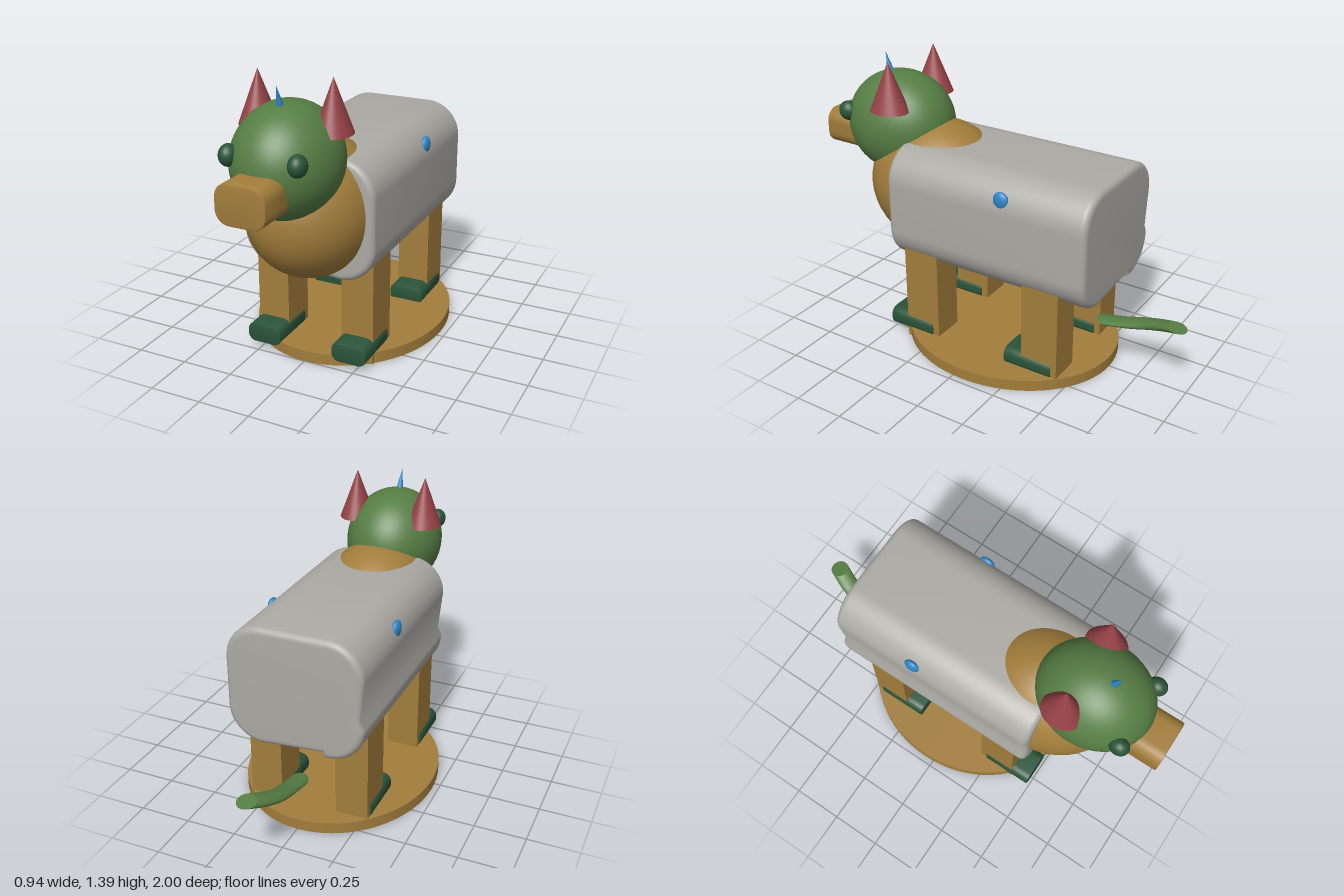
import * as THREE from 'three';
import { toCreasedNormals } from 'three/addons/utils/BufferGeometryUtils.js';

const paint = (name, color) => {
  const m = new THREE.MeshStandardMaterial({ color });
  m.name = name;
  return m;
};

export function createModel() {
  const wood = paint('wood brown', 0xa27d3b);
  const grey = paint('body grey', 0xacaaa4);
  const green = paint('head green', 0x567e44);
  const dark = paint('dark green', 0x2a5439);
  const red = paint('ear red', 0x964247);
  const blue = paint('bright blue', 0x2f86c6);
  const model = new THREE.Group();

  const add = (name, geo, mat, x = 0, y = 0, z = 0) => {
    const mesh = new THREE.Mesh(geo, mat);
    mesh.name = name;
    mesh.position.set(x, y, z);
    model.add(mesh);
    return mesh;
  };
  const ellipsoid = (rx, ry, rz, n = 48) =>
    new THREE.SphereGeometry(1, n, n / 2).scale(rx, ry, rz);

  // Extrusion along z with softened ends, spanning z0 to z1
  const extrude = (shape, z0, z1, bevel, steps) => {
    const geo = new THREE.ExtrudeGeometry(shape, {
      depth: z1 - z0 - 2 * bevel, bevelThickness: bevel, bevelSize: bevel,
      bevelSegments: steps, curveSegments: 12,
    });
    geo.translate(0, 0, z0 + bevel);
    return toCreasedNormals(geo, 0.6);
  };

  // Rounded bar, centred on x and y
  const bar = (w, h, r, z0, z1, bevel = 0.006) => {
    const a = w / 2 - bevel, b = h / 2 - bevel, q = r - bevel, s = new THREE.Shape();
    s.absarc(a - q, b - q, q, 0, Math.PI / 2);
    s.absarc(-a + q, b - q, q, Math.PI / 2, Math.PI);
    s.absarc(-a + q, -b + q, q, Math.PI, Math.PI * 1.5);
    s.absarc(a - q, -b + q, q, Math.PI * 1.5, Math.PI * 2);
    return extrude(s, z0, z1, bevel, 2);
  };

  // Oval base
  add('base', new THREE.CylinderGeometry(1, 1, 0.055, 72).scale(0.47, 1, 0.55), wood, 0, 0.0275, -0.05);

  // Body with a ledge along its lower right corner
  const section = new THREE.Shape();
  section.moveTo(-0.15, 0.485);
  section.lineTo(0.16, 0.46);
  section.absarc(0.16, 0.6, 0.14, -Math.PI / 2, 0);
  section.absarc(0.16, 0.84, 0.14, 0, Math.PI / 2);
  section.absarc(-0.16, 0.84, 0.14, Math.PI / 2, Math.PI);
  section.lineTo(-0.28, 0.64);
  section.lineTo(-0.3, 0.6);
  section.absarc(-0.16, 0.6, 0.14, Math.PI, Math.PI * 1.5);
  add('body', extrude(section, -0.61, 0.46, 0.03, 5), grey);

  // Chest and head
  add('chest', ellipsoid(0.3, 0.33, 0.362), wood, 0, 0.75, 0.383);
  add('head', ellipsoid(0.24, 0.26, 0.28), green, 0, 1.03, 0.605);
  add('snout', bar(0.235, 0.182, 0.065, 0.68, 1), wood, 0, 0.953, 0);

  // Paired parts
  for (const [side, s] of [['left', 1], ['right', -1]]) {
    add(side + 'Ear', new THREE.ConeGeometry(1, 0.24, 40).scale(0.085, 1, 0.1), red, s * 0.18, 1.27, 0.535);
    add(side + 'Eye', ellipsoid(0.041, 0.049, 0.048, 24), dark, s * 0.161, 1.09, 0.815);
    add(side + 'Spot', ellipsoid(0.021, 0.042, 0.04, 24), blue, s * 0.311, 0.908, -0.175);
    for (const [end, z, footZ] of [['Front', 0.295, 0.235], ['Back', -0.375, -0.44]]) {
      add(side + end + 'Leg', new THREE.BoxGeometry(0.16, 0.51, 0.19), wood, s * 0.22, 0.256, z);
      add(side + end + 'Foot', bar(0.174, 0.097, 0.04, footZ, footZ + 0.255), dark, s * 0.221, 0.083, 0);
    }
  }

  // Small horn leaning forward
  const horn = add('horn', new THREE.ConeGeometry(0.022, 0.13, 20), blue, 0, 1.31, 0.674);
  horn.rotation.x = 0.28;

  // Tail: a nearly level disc swept along a curve without turning
  const path = new THREE.CatmullRomCurve3([
    [0, 0.255, -0.57], [0, 0.278, -0.68], [0.002, 0.31, -0.79], [0.024, 0.342, -0.875], [0.055, 0.372, -0.95],
  ].map((p) => new THREE.Vector3(...p)));
  const tail = new THREE.CylinderGeometry(0.046, 0.046, 1, 32, 24);
  const pos = tail.attributes.position;
  for (let i = 0; i < pos.count; i++) {
    const c = path.getPoint(THREE.MathUtils.clamp(pos.getY(i) + 0.5, 0, 1));
    const x = pos.getX(i), z = pos.getZ(i);
    pos.setXYZ(i, c.x + x, c.y + z * 0.2, c.z + z);
  }
  tail.computeVertexNormals();
  add('tail', tail, green);

  return model;
}
